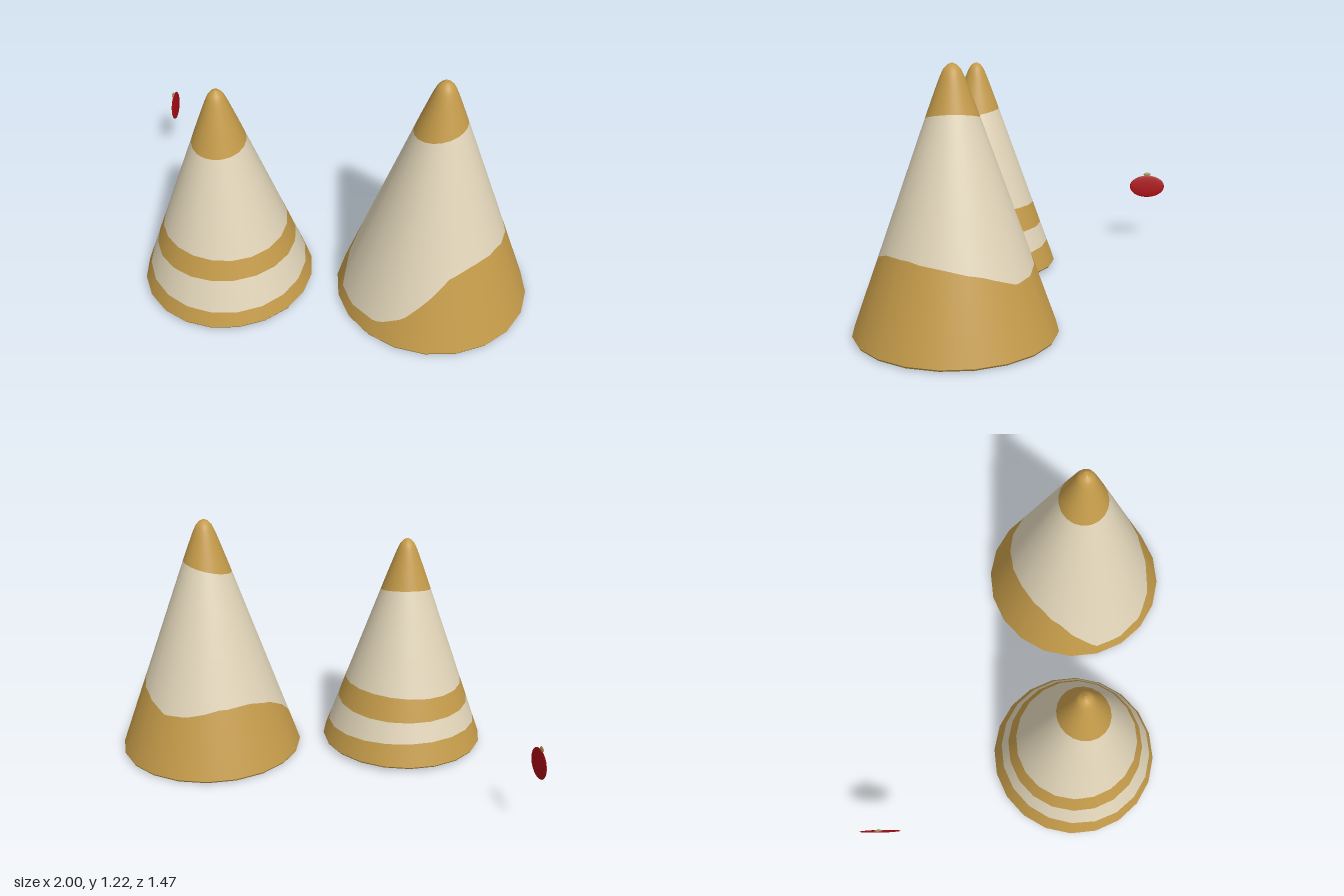
import * as THREE from 'three';

const SIDES = 20, COLS = 100, STEP = Math.PI * 2 / SIDES;

// outer profile of a cone: [height, radius]
const PROFILE = [[0.012, 0.468], [1, 0.114], [1.1, 0.077], [1.15, 0.058], [1.19, 0.04], [1.21, 0.022], [1.22, 0]];

// wavy lower paint edge of the tall cone: [degrees around from the front, height]
const WAVE = [[0, 0.27], [15, 0.37], [35, 0.408], [60, 0.415], [90, 0.395], [120, 0.355], [145, 0.3],
  [165, 0.308], [190, 0.34], [217, 0.345], [240, 0.31], [260, 0.24], [275, 0.15], [287, 0.075],
  [300, 0.07], [329, 0.09], [345, 0.16], [360, 0.27]];

function lookup(table, t) {
  for (let i = 1; i < table.length; i++) {
    const [a, va] = table[i - 1], [b, vb] = table[i];
    if (t <= b) return va + (vb - va) * Math.max(0, (t - a) / (b - a));
  }
  return table[table.length - 1][1];
}

const radius = (y) => lookup(PROFILE, y);
const wave = (a) => lookup(WAVE, THREE.MathUtils.radToDeg(a));
const bottom = () => 0.012;
const top = () => 1.22;

// one painted band of the cone wall between two edge functions of the angle
function bandGeometry(lo, hi, rows) {
  const pos = [], nor = [], idx = [];
  for (let j = 0; j <= rows; j++) {
    const t = j / rows;
    const v = rows > 1 ? 1 - (1 - t) ** 1.6 : t;
    for (let i = 0; i <= COLS; i++) {
      const a = i / COLS * Math.PI * 2;
      const y = THREE.MathUtils.lerp(lo(a), hi(a), v);
      // keep the wall on a regular polygon with smooth normals
      const off = (a % STEP) - STEP / 2;
      const r = radius(y) * Math.cos(STEP / 2) / Math.cos(off);
      const y0 = Math.max(0.012, y - 0.02), y1 = Math.min(1.22, y + 0.02);
      const slope = y > 1.215 ? 50 : (radius(y0) - radius(y1)) / (y1 - y0);
      const n = new THREE.Vector3(Math.sin(a), slope, Math.cos(a)).normalize();
      pos.push(r * Math.sin(a), y, r * Math.cos(a));
      nor.push(n.x, n.y, n.z);
      if (i < COLS && j < rows) {
        const p = j * (COLS + 1) + i, q = p + COLS + 1;
        idx.push(p, p + 1, q + 1, p, q + 1, q);
      }
    }
  }
  const g = new THREE.BufferGeometry();
  g.setAttribute('position', new THREE.Float32BufferAttribute(pos, 3));
  g.setAttribute('normal', new THREE.Float32BufferAttribute(nor, 3));
  g.setIndex(idx);
  return g;
}

function material(name, color) {
  const m = new THREE.MeshStandardMaterial({ color });
  m.name = name;
  return m;
}

function addMesh(parent, name, geometry, mat) {
  const mesh = new THREE.Mesh(geometry, mat);
  mesh.name = name;
  parent.add(mesh);
  return mesh;
}

const lathe = (pts) => new THREE.LatheGeometry(pts.map(([x, y]) => new THREE.Vector2(x, y)), SIDES);

// hollow cone: edges lists the paint boundaries from bottom to top, colours alternate from gold
function makeCone(name, edges, gold, cream) {
  const cone = new THREE.Group();
  cone.name = name;
  const all = [bottom, ...edges, top];
  for (let k = 0; k + 1 < all.length; k++) {
    const isTip = k + 2 === all.length;
    const label = isTip ? 'tip' : (k % 2 ? 'creamBand' : 'goldBand') + (k + 1);
    addMesh(cone, label, bandGeometry(all[k], all[k + 1], isTip ? 24 : 4), k % 2 ? cream : gold);
  }
  addMesh(cone, 'baseRim', lathe([[0.415, 0.004], [0.43, 0], [0.452, 0], [0.464, 0.004], [0.468, 0.012]]), gold);
  addMesh(cone, 'innerWall', lathe([[0, 1.12], [0.05, 1.06], [0.08, 0.97], [0.415, 0.004]]), cream);
  return cone;
}

export function createModel() {
  const gold = material('gold', 0xc39a49);
  const cream = material('cream', 0xe0d4b8);
  const red = material('red', 0xa80c12);
  const tan = material('tan', 0xb0905c);

  const model = new THREE.Group();
  model.name = 'conePair';

  // tall cone with a wavy painted base
  const tall = makeCone('tallCone', [wave, (a) => 0.98 + 0.03 * Math.sin(a - 0.17)], gold, cream);
  tall.position.set(0.527, 0, 0.262);
  model.add(tall);

  // short cone with two rings
  const short = makeCone('shortCone', [
    (a) => 0.115 - 0.022 * Math.cos(a) - 0.01 * Math.sin(a),
    (a) => 0.257 + 0.008 * Math.cos(a),
    (a) => 0.376 - 0.008 * Math.sin(2 * a),
    (a) => 0.92 - 0.026 * Math.cos(a),
  ], gold, cream);
  short.scale.setScalar(0.893);
  short.position.set(-0.487, 0.015, 0.295);
  model.add(short);

  // thin red pendant with a small knob on top
  const pendant = new THREE.Group();
  pendant.name = 'pendant';
  const disc = addMesh(pendant, 'pendantDisc', new THREE.SphereGeometry(1, 24, 16), red);
  disc.scale.set(0.006, 0.063, 0.1);
  const knob = addMesh(pendant, 'pendantKnob', new THREE.SphereGeometry(1, 16, 10), tan);
  knob.scale.set(0.005, 0.011, 0.021);
  knob.position.y = 0.07;
  pendant.position.set(-0.988, 0.327, -0.64);
  pendant.rotation.set(0, 0.08, 0.11);
  model.add(pendant);

  return model;
}
